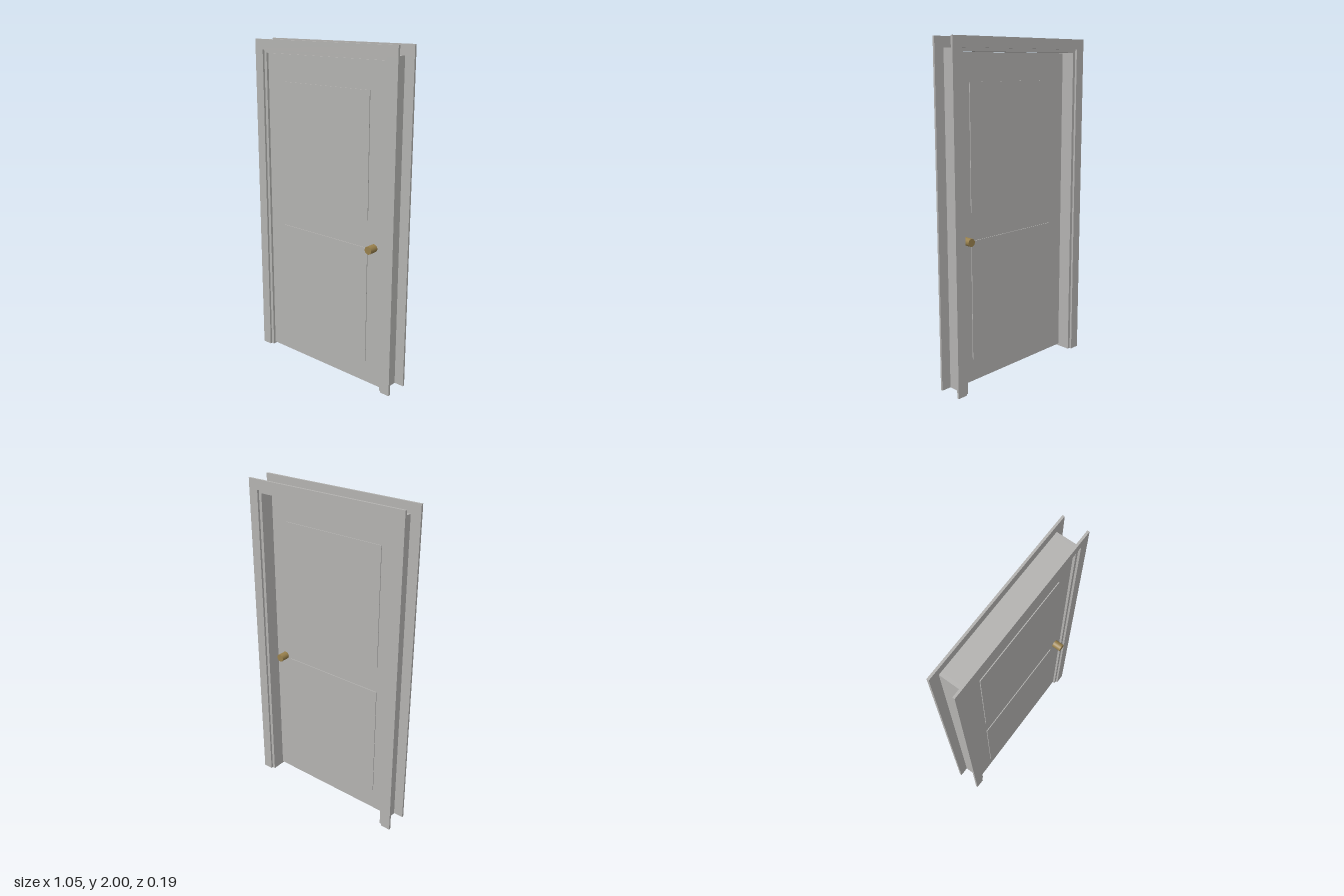
import * as THREE from 'three';

export function createModel() {
  const model = new THREE.Group();
  model.name = 'door';

  const paint = new THREE.MeshStandardMaterial({ color: 0xb3b2b0 });
  paint.name = 'grey paint';
  const brass = new THREE.MeshStandardMaterial({ color: 0x98804c });
  brass.name = 'brass';

  // Box given by its minimum and maximum corners
  function box(name, parent, [x0, y0, z0], [x1, y1, z1]) {
    const mesh = new THREE.Mesh(new THREE.BoxGeometry(x1 - x0, y1 - y0, z1 - z0), paint);
    mesh.name = name;
    mesh.position.set((x0 + x1) / 2, (y0 + y1) / 2, (z0 + z1) / 2);
    parent.add(mesh);
    return mesh;
  }

  const outer = 0.524, jambOuter = 0.463, jambInner = 0.444;
  const height = 2, jambTop = 1.94, openingTop = 1.921;
  const jambBack = -0.082, jambFront = 0.05, trim = 0.013;
  const doorBack = 0, doorFront = 0.037;

  // Jamb lining the opening
  const jamb = new THREE.Group();
  jamb.name = 'jamb';
  model.add(jamb);
  box('jambRight', jamb, [-jambOuter, 0, jambBack], [-jambInner, jambTop, jambFront]);
  box('jambLeft', jamb, [jambInner, 0, jambBack], [jambOuter, jambTop, jambFront]);
  box('jambHead', jamb, [-jambInner, openingTop, jambBack], [jambInner, jambTop, jambFront]);

  // Flat casing on both faces of the wall
  for (const [side, z] of [['front', jambFront], ['back', jambBack - trim]]) {
    const casing = new THREE.Group();
    casing.name = side + 'Casing';
    model.add(casing);
    box(side + 'CasingRight', casing, [-outer, 0, z], [-jambOuter, jambTop, z + trim]);
    box(side + 'CasingLeft', casing, [jambOuter, 0, z], [outer, jambTop, z + trim]);
    box(side + 'CasingHead', casing, [-outer, jambTop, z], [outer, height, z + trim]);
  }

  // Door leaf with two slightly raised panels on each face
  const leaf = new THREE.Group();
  leaf.name = 'leaf';
  model.add(leaf);
  box('slab', leaf, [-jambInner + 0.002, 0.013, doorBack], [jambInner - 0.002, openingTop - 0.002, doorFront]);
  const raise = 0.005;
  for (const [level, y0, y1] of [['lower', 0.15, 0.87], ['upper', 1.035, 1.76]]) {
    box(level + 'FrontPanel', leaf, [-0.33, y0, doorFront], [0.33, y1, doorFront + raise]);
    box(level + 'BackPanel', leaf, [-0.33, y0, doorBack - raise], [0.33, y1, doorBack]);
  }

  // Round knobs on both faces
  const knobLength = 0.056;
  for (const [side, z] of [['front', doorFront + knobLength / 2], ['back', doorBack - knobLength / 2]]) {
    const knob = new THREE.Mesh(new THREE.CylinderGeometry(0.0235, 0.0235, knobLength, 20), brass);
    knob.name = side + 'Knob';
    knob.rotation.x = Math.PI / 2;
    knob.position.set(0.376, 0.88, z);
    leaf.add(knob);
  }

  return model;
}
